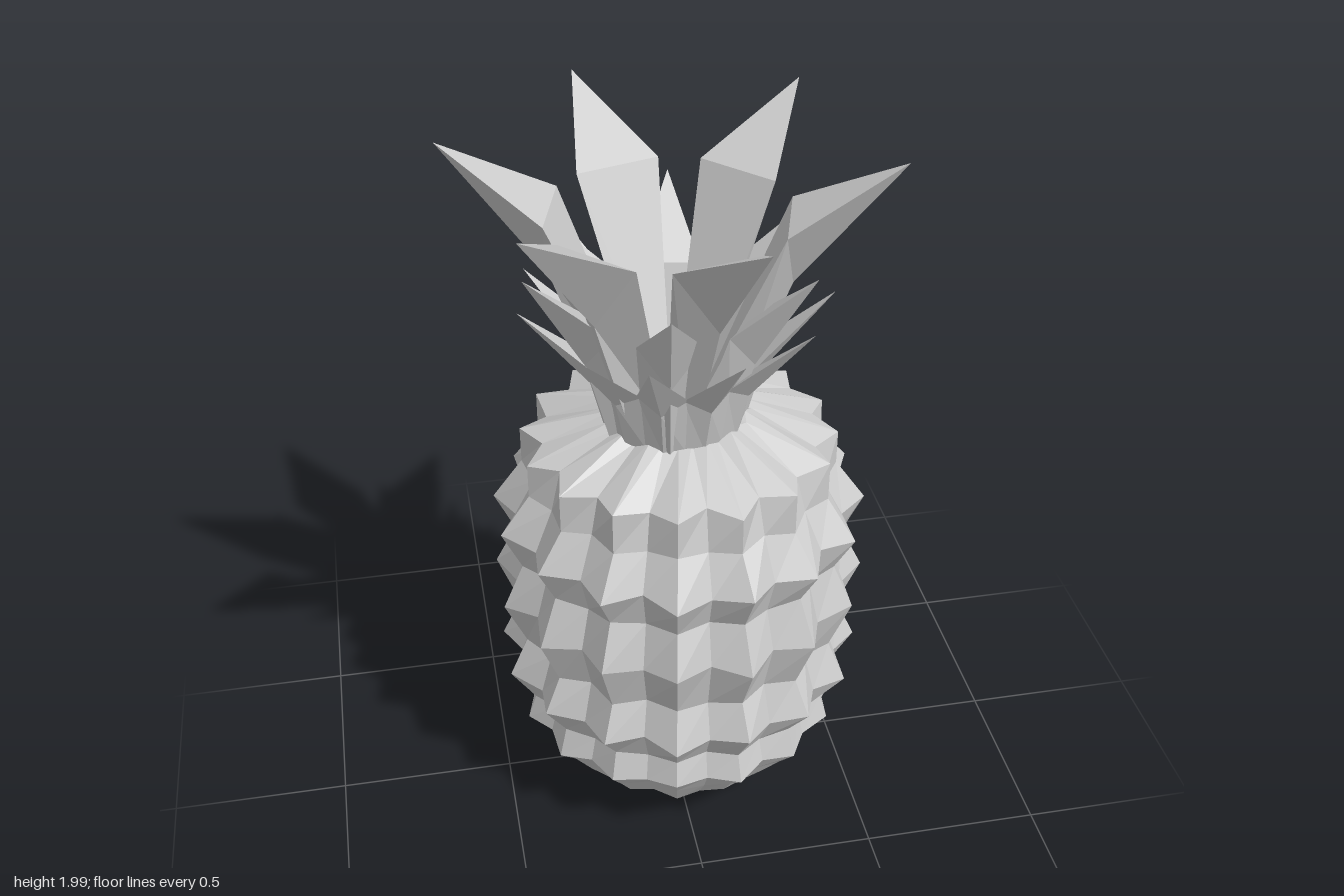
import * as THREE from 'three';

const CX = 0.03, CZ = -0.02; // axis of the fruit

function material() {
  return new THREE.MeshStandardMaterial({ color: 0xcccccc, flatShading: true, side: THREE.DoubleSide });
}

// Fruit rings from top to bottom: [height, radius at ridge columns, radius at valley columns]
const RINGS = [
  [1.24, 0.195, 0.18], [1.16, 0.435, 0.375], [1.05, 0.435, 0.405], [0.94, 0.52, 0.46],
  [0.83, 0.465, 0.43], [0.7, 0.525, 0.465], [0.55, 0.465, 0.43], [0.44, 0.52, 0.465],
  [0.34, 0.45, 0.42], [0.26, 0.475, 0.44], [0.2, 0.42, 0.4], [0.11, 0.36, 0.34], [0.01, 0.235, 0.228],
];

// Cylinder whose rings swell and pinch into 16 columns of spiky, slightly uneven scales
function fruitGeometry() {
  const rows = RINGS.length - 1, cols = 32;
  const geo = new THREE.CylinderGeometry(1, 1, 1, cols, rows);
  const pos = geo.attributes.position;
  for (let i = 0; i < pos.count; i++) {
    const x = pos.getX(i), z = pos.getZ(i);
    const row = Math.round((0.5 - pos.getY(i)) * rows);
    const col = (Math.round((Math.atan2(x, z) / (2 * Math.PI)) * cols) + cols) % cols;
    const [y, outer, inner] = RINGS[row];
    const r = col % 2 === 1 ? outer : inner;
    const wobble = 0.008 * Math.sin(col * 2.4 + row * 1.7) * Math.hypot(x, z);
    pos.setXYZ(i, x * r, y + wobble, z * r);
  }
  const flat = geo.toNonIndexed();
  flat.computeVertexNormals();
  return flat;
}

// Leaf with a flat inner face and a keel outside, leaning along +z.
// base and mid: { w: half width, r, y, keelR, keelY }; tip: { r, y }
function leafGeometry(base, mid, tip) {
  const section = (s) => [[-s.w, s.y, s.r], [s.w, s.y, s.r], [0, s.keelY, s.keelR]];
  const a = section(base), b = section(mid), t = [0, tip.y, tip.r];
  const tris = [a[0], a[1], a[2]];
  for (let i = 0; i < 3; i++) {
    const j = (i + 1) % 3;
    tris.push(a[i], b[i], b[j], a[i], b[j], a[j], b[i], t, b[j]);
  }
  const geo = new THREE.BufferGeometry();
  geo.setAttribute('position', new THREE.Float32BufferAttribute(tris.flat(), 3));
  geo.computeVertexNormals();
  return geo;
}

// Ring of equal leaves; angles are in degrees from +x towards +z
function leafRing(name, angles, geo, x, z) {
  const ring = new THREE.Group();
  ring.name = name;
  ring.position.set(x, 0, z);
  const mat = material();
  for (const angle of angles) {
    const leaf = new THREE.Mesh(geo, mat);
    leaf.name = 'leaf';
    leaf.rotation.y = Math.PI / 2 - THREE.MathUtils.degToRad(angle);
    ring.add(leaf);
  }
  return ring;
}

const evenAngles = (count, start) => Array.from({ length: count }, (_, i) => start + (i * 360) / count);

export function createModel() {
  const model = new THREE.Group();
  model.name = 'pineapple';

  const fruit = new THREE.Mesh(fruitGeometry(), material());
  fruit.name = 'fruit';
  fruit.position.set(CX, 0, CZ);
  model.add(fruit);

  // Tall inner leaves
  model.add(leafRing('innerLeaves', [17, 78, 136, 196, 254, 317], leafGeometry(
    { w: 0.032, r: 0.05, y: 1.22, keelR: 0.15, keelY: 1.2 },
    { w: 0.118, r: 0.3, y: 1.83, keelR: 0.315, keelY: 1.65 },
    { r: 0.583, y: 1.99 }), 0, 0));

  // Middle leaves, set between the inner ones
  model.add(leafRing('middleLeaves', evenAngles(6, 40), leafGeometry(
    { w: 0.07, r: 0.1, y: 1.22, keelR: 0.18, keelY: 1.2 },
    { w: 0.085, r: 0.22, y: 1.57, keelR: 0.25, keelY: 1.46 },
    { r: 0.415, y: 1.75 }), 0, 0));

  // Short outer leaves, whose bases close into a collar
  model.add(leafRing('outerLeaves', evenAngles(11, 11), leafGeometry(
    { w: 0.058, r: 0.175, y: 1.22, keelR: 0.195, keelY: 1.22 },
    { w: 0.068, r: 0.205, y: 1.4, keelR: 0.23, keelY: 1.36 },
    { r: 0.415, y: 1.6 }), 0.015, -0.01));

  return model;
}
